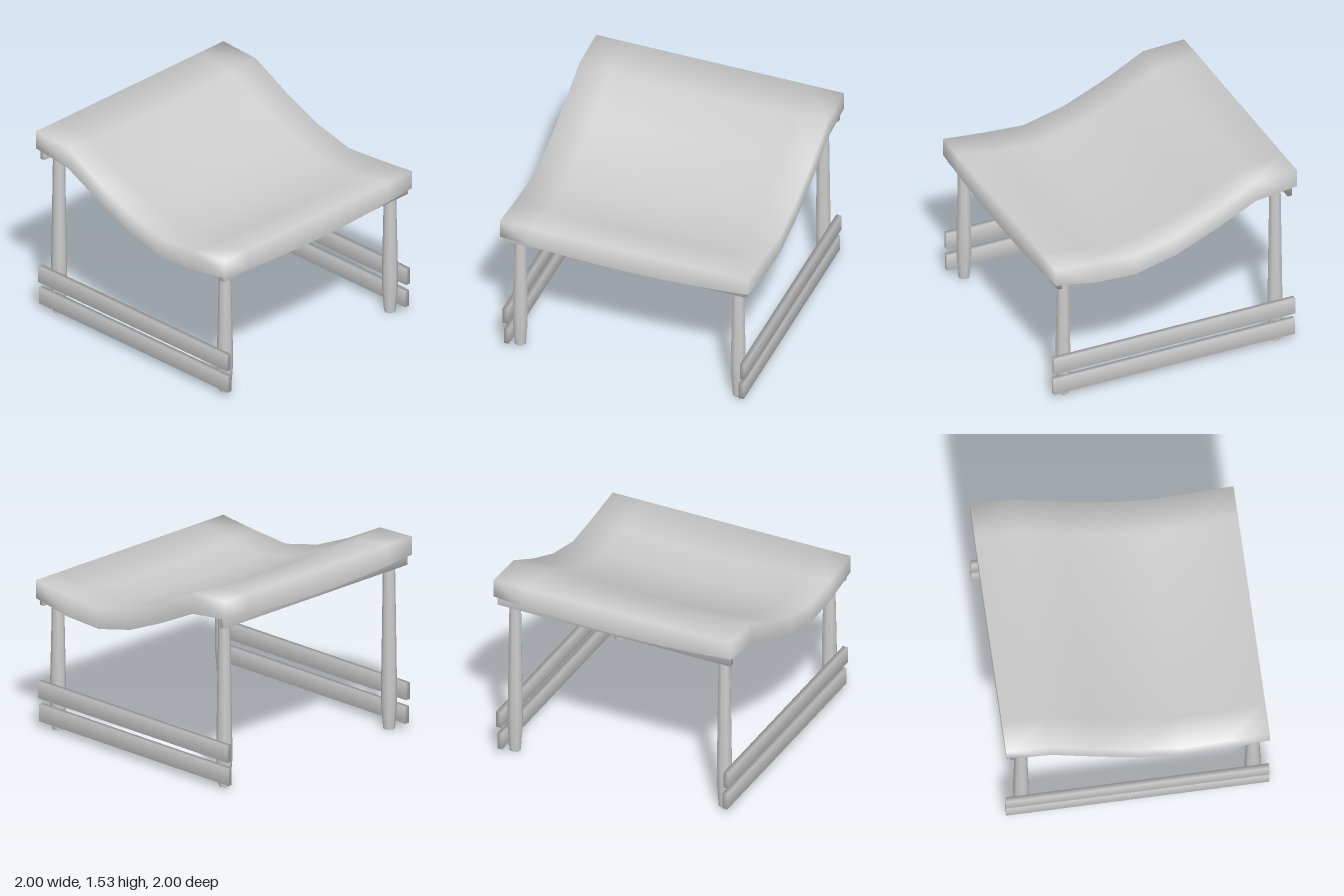
import * as THREE from 'three';
import { mergeVertices } from 'three/addons/utils/BufferGeometryUtils.js';

const material = new THREE.MeshStandardMaterial({ color: 0xcccccc, side: THREE.DoubleSide });

// Seat edge profile from front to back: z, top, hem
const PROFILE = [
  [1, 1.19, 1.045], [0.67, 1.155, 0.985], [0.335, 1.13, 0.97], [0, 1.21, 1.05],
  [-0.33, 1.35, 1.19], [-0.66, 1.52, 1.35], [-1, 1.535, 1.39],
];
const COLS = 8;
const ROWS = PROFILE.length - 1;
const sag = (x) => 0.05 * (1 - x * x);

function add(group, name, geometry, x = 0, y = 0, z = 0) {
  const mesh = new THREE.Mesh(geometry, material);
  mesh.name = name;
  mesh.position.set(x, y, z);
  group.add(mesh);
}

// Hollow seat: a sheet that sags between its straight rims, with a skirt all round
function seatGeometry() {
  const pos = [], index = [];
  const xAt = (c) => -1 + (2 * c) / COLS;
  const id = (r, c) => r * (COLS + 1) + c;
  PROFILE.forEach(([z, top], r) => {
    const inner = r > 0 && r < ROWS;
    for (let c = 0; c <= COLS; c++) pos.push(xAt(c), inner ? top - sag(xAt(c)) : top, z);
  });
  for (let r = 0; r < ROWS; r++) {
    for (let c = 0; c < COLS; c++) {
      const a = id(r, c), b = id(r, c + 1), d = id(r + 1, c), e = id(r + 1, c + 1);
      index.push(a, b, d, b, e, d);
    }
  }

  // Rim, walked front, left side, back, right side
  const rim = [];
  for (let c = 0; c < COLS; c++) rim.push([0, c]);
  for (let r = 0; r < ROWS; r++) rim.push([r, COLS]);
  for (let c = COLS; c > 0; c--) rim.push([ROWS, c]);
  for (let r = ROWS; r > 0; r--) rim.push([r, 0]);

  // Skirt hanging from the rim, with a curved hem at front and back
  const start = pos.length / 3;
  for (const [r, c] of rim) pos.push(xAt(c), PROFILE[r][2] - sag(xAt(c)), PROFILE[r][0]);
  rim.forEach(([r, c], i) => {
    const j = (i + 1) % rim.length;
    const a = id(r, c), b = id(...rim[j]);
    index.push(start + i, start + j, a, start + j, b, a);
  });

  const geo = new THREE.BufferGeometry();
  geo.setAttribute('position', new THREE.Float32BufferAttribute(pos, 3));
  geo.setIndex(index);
  geo.computeVertexNormals();
  return geo;
}

// Plank with normals smoothed across its edges
function plankGeometry(w, h, d) {
  const box = new THREE.BoxGeometry(w, h, d);
  box.deleteAttribute('normal');
  box.deleteAttribute('uv');
  const geo = mergeVertices(box);
  geo.computeVertexNormals();
  return geo;
}

// Turned leg, widest a little above the floor
function legGeometry(height) {
  const points = [[0, 0], [0.045, 0], [0.045, 0.002], [0.06, 0.2], [0.06, 0.36], [0.044, height], [0, height]];
  return new THREE.LatheGeometry(points.map(([r, y]) => new THREE.Vector2(r, y)), 8);
}

export function createModel() {
  const model = new THREE.Group();
  model.name = 'stool';

  add(model, 'seat', seatGeometry());

  // Bars under the seat ends
  add(model, 'frontBar', plankGeometry(1.96, 0.135, 0.036), 0, 1.06, 0.957);
  add(model, 'backBar', plankGeometry(1.96, 0.135, 0.036), 0, 1.372, -0.952);

  // Legs and side rails
  for (const [side, s] of [['left', 1], ['right', -1]]) {
    add(model, side + 'FrontLeg', legGeometry(1.12), s * 0.88, 0, 0.885);
    add(model, side + 'BackLeg', legGeometry(1.44), s * 0.88, 0, -0.875);
    add(model, side + 'UpperRail', plankGeometry(0.04, 0.135, 2), s * 0.957, 0.305, 0);
    add(model, side + 'LowerRail', plankGeometry(0.04, 0.135, 2), s * 0.947, 0.118, 0);
  }
  return model;
}
